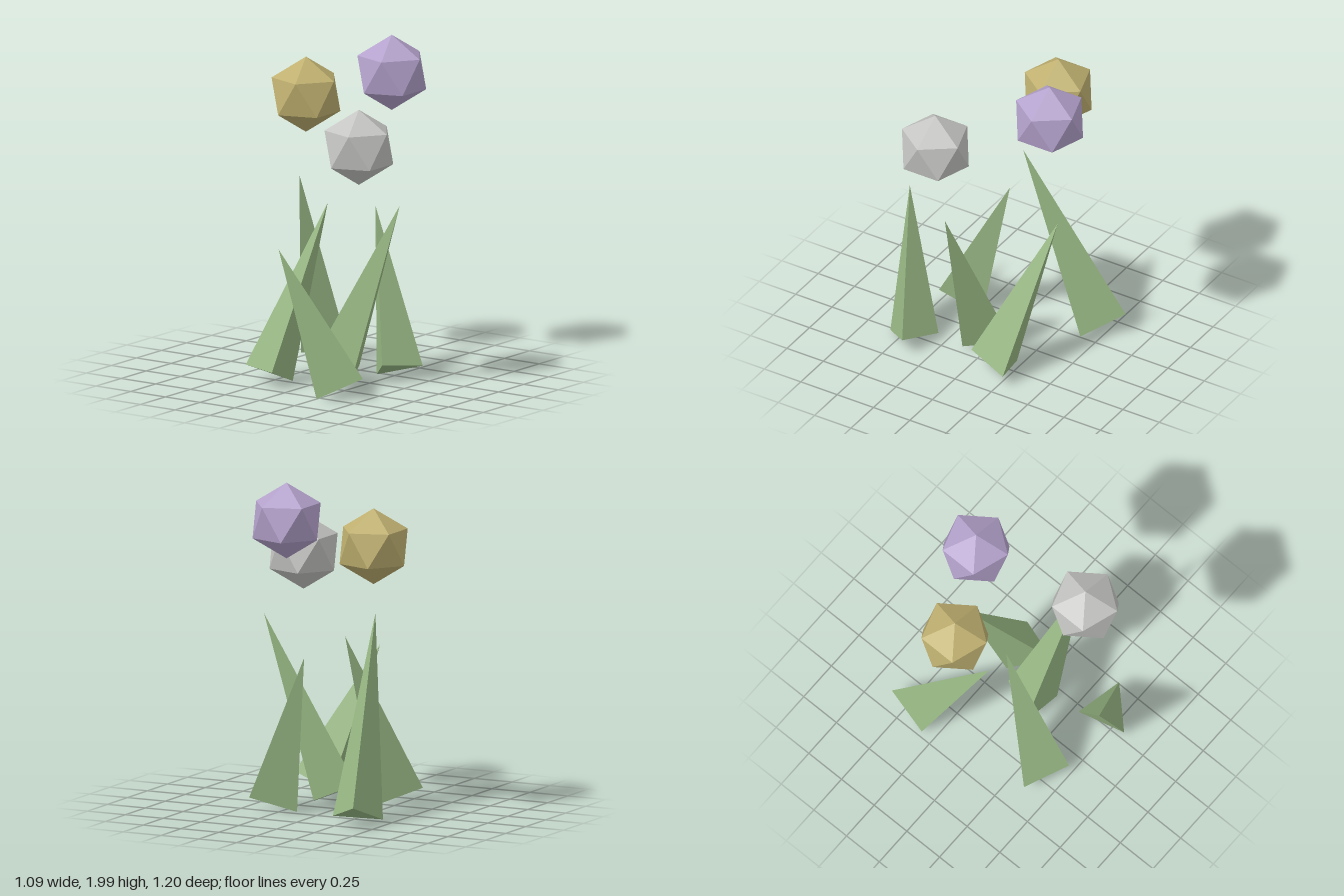
import * as THREE from 'three';
import { ConvexGeometry } from 'three/addons/geometries/ConvexGeometry.js';

function material(name, color) {
  const m = new THREE.MeshStandardMaterial({ color });
  m.name = name;
  return m;
}

// Three-sided spike: a tip over a tilted triangular base
function spike(tip, ...base) {
  return new ConvexGeometry([tip, ...base].map((p) => new THREE.Vector3(...p)));
}

// Twenty-sided gem standing on one corner, an upper-ring corner pointing to +x
function gem(radius) {
  const g = new THREE.IcosahedronGeometry(radius, 0);
  g.rotateZ(-Math.atan(2 / (1 + Math.sqrt(5))));
  return g;
}

export function createModel() {
  const model = new THREE.Group();
  model.name = 'crystalSpikes';

  const add = (parent, name, geometry, mat) => {
    const mesh = new THREE.Mesh(geometry, mat);
    mesh.name = name;
    parent.add(mesh);
    return mesh;
  };

  // Leaning green spikes: tip, then the three base corners
  const green = material('leafGreen', 0x98b884);
  const spikes = new THREE.Group();
  spikes.name = 'spikes';
  model.add(spikes);
  const shapes = {
    backRightSpike: [[-0.257, 1.19, 0], [-0.426, 0.14, -0.6], [-0.202, 0.05, -0.428], [-0.479, 0.036, -0.326]],
    frontRightSpike: [[-0.07, 1.04, -0.025], [-0.376, 0.103, 0.369], [-0.105, 0.108, 0.484], [-0.15, 0.006, 0.213]],
    backLeftSpike: [[0.003, 0.966, -0.4], [0.428, 0.082, -0.284], [0.333, 0.12, -0.01], [0.15, 0.008, -0.21]],
    middleLeftSpike: [[0.512, 1.114, 0.062], [0.08, 0.07, -0.135], [-0.064, 0.135, 0.12], [0.207, 0.018, 0.13]],
    frontLeftSpike: [[0.029, 0.886, 0.602], [0.285, 0.018, 0.577], [0.475, 0.128, 0.378], [0.203, 0.05, 0.297]],
  };
  for (const [name, points] of Object.entries(shapes)) add(spikes, name, spike(...points), green);

  // Floating gems
  const gems = new THREE.Group();
  gems.name = 'gems';
  model.add(gems);
  const gemGeometry = gem(0.225);
  [
    ['goldGem', material('gold', 0xbfb070), [-0.344, 1.625, -0.187]],
    ['lilacGem', material('lilac', 0xb4a2cc), [0.113, 1.775, -0.411]],
    ['silverGem', material('silver', 0xc4c4c2), [0.341, 1.472, 0.233]],
  ].forEach(([name, mat, position]) => add(gems, name, gemGeometry, mat).position.set(...position));

  return model;
}
